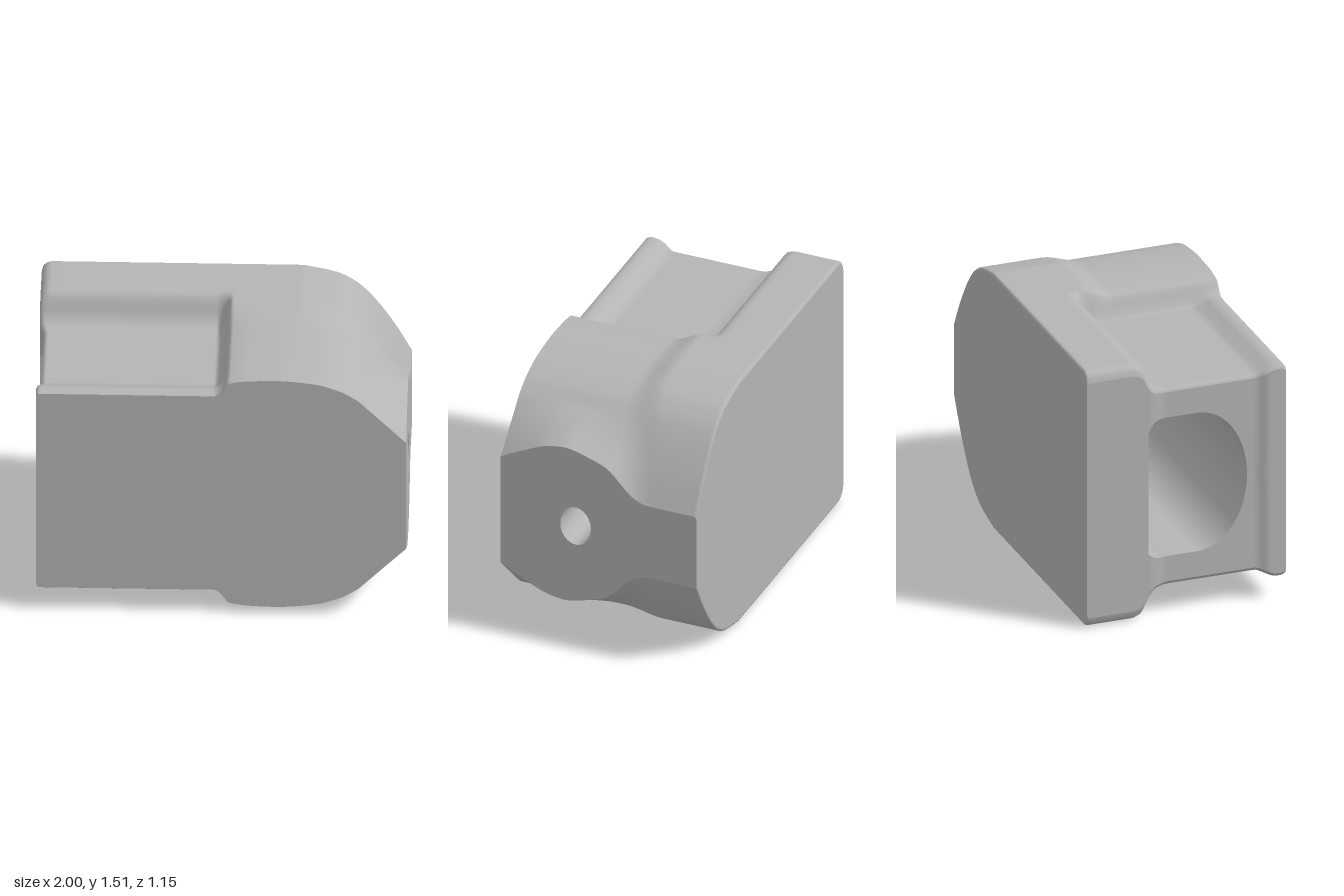
import * as THREE from 'three';
import { toCreasedNormals } from 'three/addons/utils/BufferGeometryUtils.js';

const MID = 0.755, BACK = -0.575, FRONT = 0.575;
const smooth = (v, a, b) => THREE.MathUtils.smoothstep(v, a, b);
const lerp = THREE.MathUtils.lerp;

// Smooth interpolation through a few [position, value] pairs
function table(points) {
  const slope = points.map((p, i) => {
    if (i === 0 || i === points.length - 1) return null;
    const a = points[i - 1], b = points[i + 1];
    const l = (p[1] - a[1]) / (p[0] - a[0]), r = (b[1] - p[1]) / (b[0] - p[0]);
    return l * r <= 0 ? 0 : (2 * l * r) / (l + r);
  });
  return (v) => {
    const n = points.length - 1;
    if (v <= points[0][0]) return points[0][1];
    if (v >= points[n][0]) return points[n][1];
    let i = 0;
    while (v > points[i + 1][0]) i++;
    const [x0, y0] = points[i], [x1, y1] = points[i + 1];
    const w = x1 - x0, t = (v - x0) / w, chord = (y1 - y0) / w;
    const m0 = slope[i] ?? chord, m1 = slope[i + 1] ?? chord;
    return y0 * (1 + 2 * t) * (1 - t) ** 2 + m0 * w * t * (1 - t) ** 2 +
      y1 * t * t * (3 - 2 * t) + m1 * w * t * t * (t - 1);
  };
}

// Half heights of the body, measured from its middle plane
const slab = table([[0.42, 0.755], [0.6, 0.712], [0.7, 0.655], [0.78, 0.575], [0.9, 0.405], [1, 0.225]]);
const bulge = table([[0, 0.67], [0.05, 0.695], [0.15, 0.71], [0.3, 0.715], [0.5, 0.697], [0.65, 0.65], [0.74, 0.595]]);
const endEdge = table([[-0.33, 0.225], [-0.2, 0.31], [-0.1, 0.38], [0.05, 0.445], [0.2, 0.48],
  [0.3, 0.465], [0.45, 0.4], [0.575, 0.335]]);
const channel = table([[-0.3, 0.755], [-0.26, 0.735], [-0.21, 0.63], [-0.17, 0.59], [-0.1, 0.58],
  [0.4, 0.58], [0.46, 0.6], [0.51, 0.622], [0.55, 0.625], [0.575, 0.612]]);

// Drop of a rounded edge of radius r at distance d from the edge
const round = (d, r) => d >= r ? 0 : r - Math.sqrt(Math.max(0, r * r - (r - d) ** 2));

function halfHeight(x, z) {
  const nose = x < 0.74 ? bulge(x) : lerp(bulge(0.74), endEdge(z), (x - 0.74) / 0.26);
  const start = lerp(-0.2, -0.33, smooth(x, 0.5, 1));
  const right = lerp(slab(x), nose, smooth(z, start, -0.03));
  const h = lerp(channel(z), right, smooth(x, -0.04, 0.045));
  return h - round(x + 1, lerp(0.06, 0.02, smooth(z, -0.3, -0.15))) - round(z - BACK, 0.015);
}

// The left end is slightly hollow between the slab and the front lip
const hollow = (z) => 0.025 * smooth(z, -0.22, -0.1) * (1 - smooth(z, 0.41, 0.48));
const shiftX = (x, z) => x + hollow(z) * (1 - smooth(x, -1, -0.85));

// Half height of the D-shaped pocket and of the oval hole along z
const POCKET = { z0: -0.22, z1: 0.36, floor: 0.3 };
const pocket = (z) => z > 0.07
  ? 0.41 * Math.sqrt(Math.max(0, 1 - ((z - 0.07) / 0.29) ** 2))
  : 0.41 - 0.04 * Math.max(0, 1 - (z - POCKET.z0) / 0.08) ** 2;
const HOLE = { z: 0.135, rz: 0.09, ry: 0.117 };
const hole = (z) => HOLE.ry * Math.sqrt(Math.max(0, 1 - ((z - HOLE.z) / HOLE.rz) ** 2));

// Sample positions, denser where the outline curves
const range = (a, b, n) => Array.from({ length: n + 1 }, (_, i) => lerp(a, b, i / n));
const arc = (a, b, n) => range(0, Math.PI, n).map((t) => (a + b) / 2 - (b - a) / 2 * Math.cos(t));
const merge = (...lists) => lists.flat().sort((a, b) => a - b).filter((v, i, l) => !i || v - l[i - 1] > 1e-5);
const xs = merge(range(-0.94, -0.06, 16), range(-1, -0.94, 8), range(-0.06, 0.06, 16), range(0.06, 1, 50));
const zs = merge(range(BACK, FRONT, 70), range(BACK, BACK + 0.015, 4),
  [POCKET.z0], arc(-0.22, POCKET.z1, 32), arc(HOLE.z - HOLE.rz, HOLE.z + HOLE.rz, 28));
const between = (a, b) => zs.filter((z) => z >= a - 1e-6 && z <= b + 1e-6);

// Grid surface facing along du x dv
function surface(us, vs, point) {
  const pos = [], index = [], n = vs.length;
  for (const u of us) for (const v of vs) pos.push(...point(u, v));
  for (let i = 0; i < us.length - 1; i++) {
    for (let j = 0; j < n - 1; j++) {
      const a = i * n + j, b = a + n;
      index.push(a, b, b + 1, a, b + 1, a + 1);
    }
  }
  const geometry = new THREE.BufferGeometry();
  geometry.setAttribute('position', new THREE.Float32BufferAttribute(pos, 3));
  geometry.setIndex(index);
  return toCreasedNormals(geometry, 0.7);
}

export function createModel() {
  const group = new THREE.Group();
  const grey = new THREE.MeshStandardMaterial({ color: 0xb4b4b4 });
  grey.name = 'plain grey';
  const add = (name, us, vs, point) => {
    const mesh = new THREE.Mesh(surface(us, vs, point), grey);
    mesh.name = name;
    group.add(mesh);
  };
  const unit = [-1, 1];

  // Sculpted top and its mirror below
  add('topSurface', zs, xs, (z, x) => [shiftX(x, z), MID + halfHeight(x, z), z]);
  add('bottomSurface', xs, zs, (x, z) => [shiftX(x, z), MID - halfHeight(x, z), z]);

  // Flat front and back faces
  add('frontFace', xs, unit, (x, s) => [x, MID + s * halfHeight(x, FRONT), FRONT]);
  add('backFace', unit, xs, (s, x) => [x, MID + s * halfHeight(x, BACK), BACK]);

  // Upright plates across z, left open between the inner half heights
  const plate = (name, list, x, inner, outer, facesRight) => {
    for (const side of unit) {
      const point = (z, t) => [x(z), MID + side * lerp(inner(z), outer(z), t), z];
      if (facesRight === (side > 0)) add(name, [0, 1], list, (t, z) => point(z, t));
      else add(name, list, [0, 1], point);
    }
  };
  const leftX = (z) => shiftX(-1, z);
  const leftEdge = (z) => halfHeight(-1, z);
  plate('leftEnd', between(BACK, POCKET.z0), leftX, () => 0, leftEdge, false);
  plate('leftEnd', between(POCKET.z0, FRONT), leftX, pocket, leftEdge, false);
  plate('rightEnd', zs, () => 1, hole, (z) => halfHeight(1, z), true);

  // Walls of an opening running along x
  const bore = (name, list, x0, x1, half) => {
    const ends = [0, 1];
    const at = (z, t, side) => [lerp(x0(z), x1, t), MID + side * half(z), z];
    add(name + 'Roof', ends, list, (t, z) => at(z, t, 1));
    add(name + 'Base', list, ends, (z, t) => at(z, t, -1));
  };
  const pocketZ = between(POCKET.z0, POCKET.z1);
  bore('pocket', pocketZ, leftX, POCKET.floor, pocket);
  add('pocketBackWall', [0, 1], unit, (t, s) =>
    [lerp(leftX(POCKET.z0), POCKET.floor, t), MID + s * pocket(POCKET.z0), POCKET.z0]);
  plate('pocketFloor', pocketZ, () => POCKET.floor, hole, pocket, false);
  bore('hole', between(HOLE.z - HOLE.rz, HOLE.z + HOLE.rz), () => POCKET.floor, 1, hole);

  return group;
}
